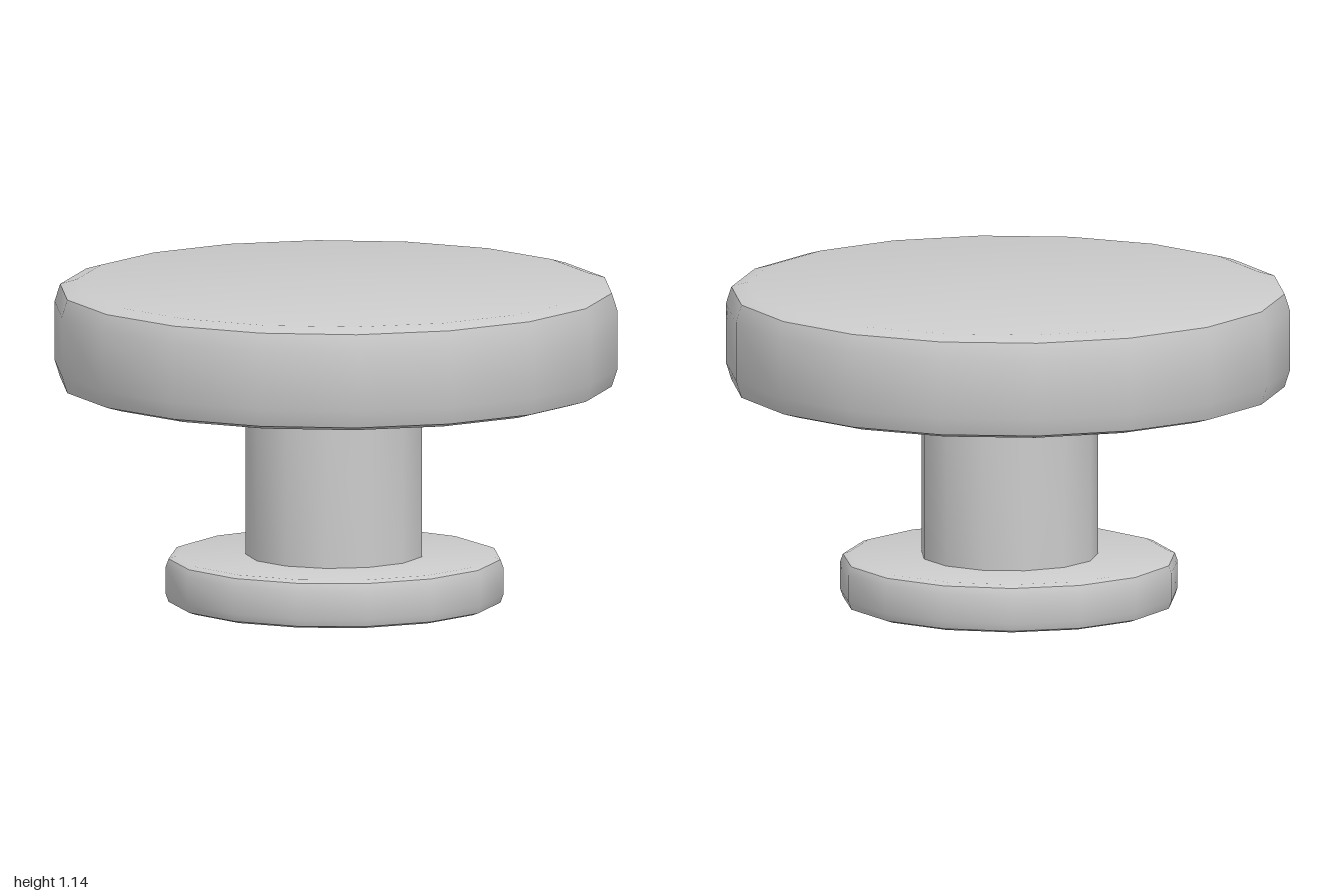
import * as THREE from 'three';
import { toCreasedNormals } from 'three/addons/utils/BufferGeometryUtils.js';

const material = new THREE.MeshStandardMaterial({ color: 0xcccccc });

// Turned part: profile runs bottom to top as [radius, height]
function turned(name, profile, sides, startDegrees, x = 0) {
  const points = profile.map(([r, y]) => new THREE.Vector2(r, y));
  const lathe = new THREE.LatheGeometry(points, sides, THREE.MathUtils.degToRad(startDegrees));
  const mesh = new THREE.Mesh(toCreasedNormals(lathe, THREE.MathUtils.degToRad(40)), material);
  mesh.name = name;
  mesh.position.x = x;
  return mesh;
}

// Closed disc with a steep bevel and a shallow shoulder at both rims
function discProfile(radius, bottom, top, bevel, shoulder) {
  const [bevelIn, bevelHeight] = bevel;
  const [shoulderIn, shoulderHeight] = shoulder;
  const lower = [
    [0, 0],
    [radius - shoulderIn, 0],
    [radius - bevelIn, shoulderHeight],
    [radius, bevelHeight],
  ];
  return [
    ...lower.map(([r, h]) => [r, bottom + h]),
    ...lower.reverse().map(([r, h]) => [r, top - h]),
  ];
}

export function createModel() {
  const group = new THREE.Group();
  group.name = 'knob';

  // Wide head
  group.add(turned('head', discProfile(1, 0.77, 1.14, [0.02, 0.08], [0.08, 0.018]), 18, -5));

  // Stem between base and head
  group.add(turned('stem', [[0.315, 0.15], [0.315, 0.8]], 13, -90, -0.005));

  // Small base plate
  group.add(turned('base', discProfile(0.6, 0, 0.172, [0.01, 0.037], [0.035, 0.009]), 15, -90, -0.005));

  return group;
}
